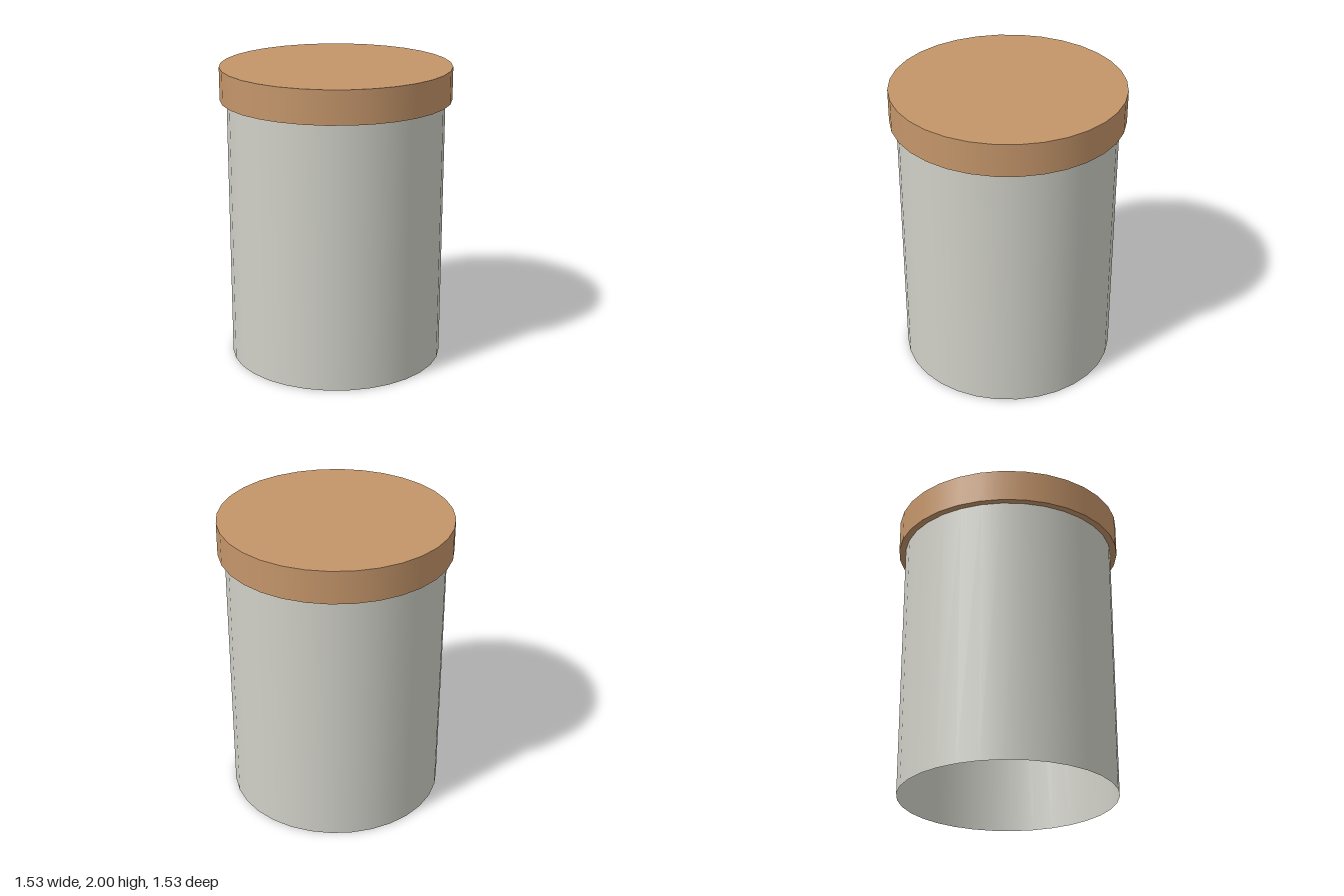
import * as THREE from 'three';

const SIDES = 32;
const BODY_RADIUS = 0.72, LID_RADIUS = 0.765;
const HEIGHT = 2, LID_HEIGHT = 0.22;

export function createModel() {
  const ceramic = new THREE.MeshStandardMaterial({ color: 0xd0d0c8, side: THREE.DoubleSide });
  ceramic.name = 'pale grey';
  const wood = new THREE.MeshStandardMaterial({ color: 0xc4956a });
  wood.name = 'tan wood';

  const model = new THREE.Group();
  model.name = 'liddedCanister';

  // Thin-walled tube, open at the bottom
  const bodyHeight = HEIGHT - LID_HEIGHT;
  const body = new THREE.Mesh(
    new THREE.CylinderGeometry(BODY_RADIUS, BODY_RADIUS, bodyHeight, SIDES, 1, true), ceramic);
  body.name = 'body';
  body.position.y = bodyHeight / 2;

  // Solid overhanging lid
  const lid = new THREE.Mesh(
    new THREE.CylinderGeometry(LID_RADIUS, LID_RADIUS, LID_HEIGHT, SIDES), wood);
  lid.name = 'lid';
  lid.position.y = HEIGHT - LID_HEIGHT / 2;

  model.add(body, lid);
  return model;
}
